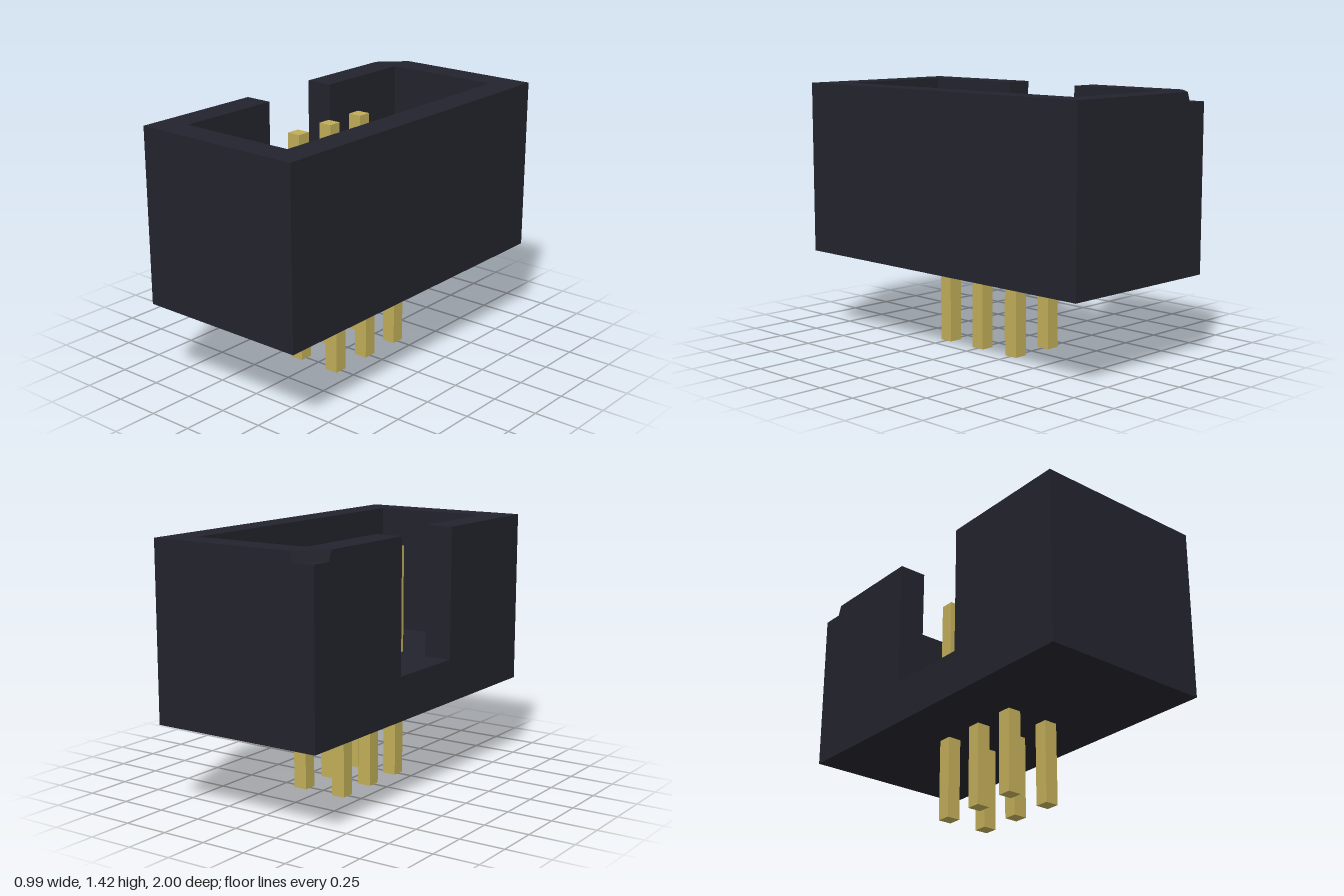
import * as THREE from 'three';

// Housing dimensions
const X = 0.493, Z = 1, IX = 0.336, IZ = 0.845, NOTCH = 0.247;
const BASE = 0.46, FLOOR = 0.70, STEP = 1.37, TOP = 1.425;
const PIN = 0.078, PIN_TOP = 1.295, PITCH = 0.252;

// Plan outlines are [x, -z] points, counter-clockwise seen from above.
// Wall outline with the notch on -x and an optional cut at the rear corner.
const wallOutline = (cut) => [
  [-X, -NOTCH], [-X, -Z], [X, -Z], [X, Z],
  ...(cut ? [[cut - X, Z], [-X, Z - cut]] : [[-X, Z]]),
  [-X, NOTCH], [-IX, NOTCH], [-IX, IZ], [IX, IZ], [IX, -IZ], [-IX, -IZ], [-IX, -NOTCH],
];

function buildHousing() {
  const pos = [];
  const push = (p, y) => pos.push(p[0], y, -p[1]);
  const cap = (outline, y, up = true) => {
    const pts = outline.map(([a, b]) => new THREE.Vector2(a, b));
    for (const f of THREE.ShapeUtils.triangulateShape(pts, [])) {
      for (const i of up ? f : [f[0], f[2], f[1]]) push(outline[i], y);
    }
  };
  const sides = (low, y0, high, y1) => low.forEach((a, i) => {
    const j = (i + 1) % low.length;
    push(a, y0); push(low[j], y0); push(high[j], y1);
    push(a, y0); push(high[j], y1); push(high[i], y1);
  });

  // Solid base with the cavity floor running out through the notch
  const rect = [[-X, -Z], [X, -Z], [X, Z], [-X, Z]];
  cap(rect, BASE, false);
  sides(rect, BASE, rect, FLOOR);
  cap([[-X, NOTCH], [-X, -NOTCH], [-IX, -NOTCH], [-IX, -IZ],
    [IX, -IZ], [IX, IZ], [-IX, IZ], [-IX, NOTCH]], FLOOR);

  // Shroud walls, then the rim with its small corner marker cut
  const cutLow = 0.12, cutHigh = 0.14;
  sides(wallOutline(0), FLOOR, wallOutline(0), STEP);
  cap([[cutLow - X, Z], [-X, Z], [-X, Z - cutLow]], STEP);
  sides(wallOutline(cutLow), STEP, wallOutline(cutHigh), TOP);
  cap(wallOutline(cutHigh), TOP);

  const geo = new THREE.BufferGeometry();
  geo.setAttribute('position', new THREE.Float32BufferAttribute(pos, 3));
  geo.computeVertexNormals();
  return geo;
}

export function createModel() {
  const black = new THREE.MeshStandardMaterial({ color: 0x23232d });
  black.name = 'black plastic';
  const gold = new THREE.MeshStandardMaterial({ color: 0xc0ad58 });
  gold.name = 'gold metal';

  const model = new THREE.Group();
  model.name = 'pinHeader';

  const housing = new THREE.Mesh(buildHousing(), black);
  housing.name = 'housing';
  model.add(housing);

  // Two columns of three square pins passing through the base
  const pins = new THREE.Group();
  pins.name = 'pins';
  const pinGeo = new THREE.BoxGeometry(PIN, PIN_TOP, PIN);
  for (const x of [-PITCH / 2, PITCH / 2]) {
    for (const z of [-PITCH, 0, PITCH]) {
      const pin = new THREE.Mesh(pinGeo, gold);
      pin.name = 'pin';
      pin.position.set(x, PIN_TOP / 2, z);
      pins.add(pin);
    }
  }
  model.add(pins);
  return model;
}
